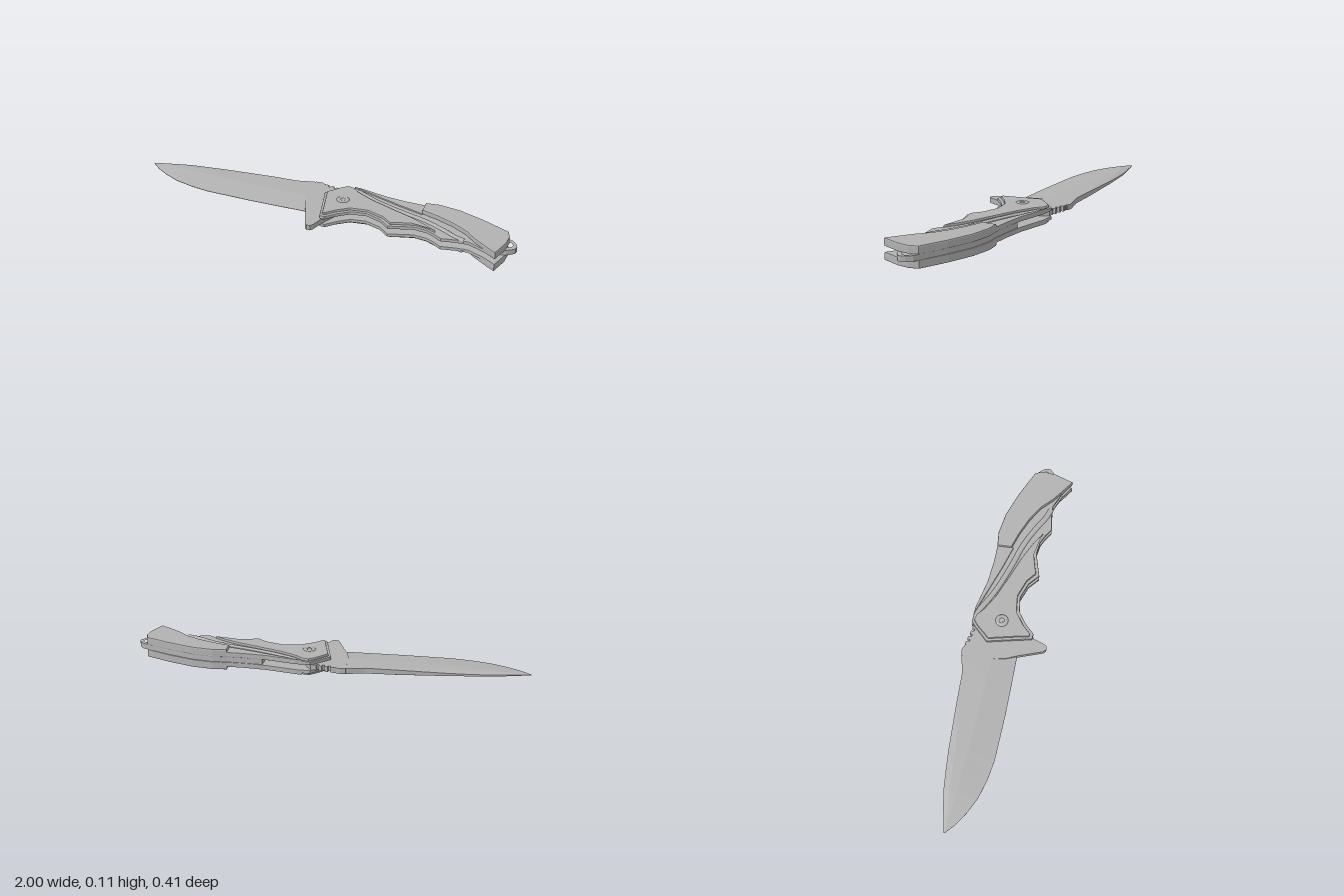
import * as THREE from 'three';

const C = 0.054; // mid height of the knife lying on its side
const steel = new THREE.MeshStandardMaterial({ color: 0xb2b2b2 });
steel.name = 'grey steel';

// Flat plate from [x, z] points, between two offsets from the mid plane, on one side (+1 top, -1 bottom)
function plate(name, pts, from, to, bevel, side = 1, hole = null) {
  const v = ([x, z]) => new THREE.Vector2(x, -side * z);
  const shape = new THREE.Shape(pts.map(v));
  if (hole) shape.holes.push(new THREE.Path(hole.map(v)));
  const geo = new THREE.ExtrudeGeometry(shape, {
    depth: to - from - 2 * bevel, bevelEnabled: bevel > 0, bevelThickness: bevel,
    bevelSize: bevel, bevelOffset: -bevel, bevelSegments: 2,
  });
  geo.translate(0, 0, from + bevel).rotateX(-side * Math.PI / 2).translate(0, C, 0);
  const mesh = new THREE.Mesh(geo, steel);
  mesh.name = name;
  return mesh;
}

// Blade lofted through sections: x, spine z, swedge z, ridge z, edge z, half thickness, spine half thickness
function blade() {
  const rows = [
    [-1, -0.067, -0.066, -0.065, -0.063, 0.001, 0.001],
    [-0.95, -0.081, -0.07, -0.062, -0.022, 0.005, 0.002],
    [-0.88, -0.1, -0.078, -0.058, 0.018, 0.009, 0.003],
    [-0.8, -0.119, -0.09, -0.055, 0.052, 0.0125, 0.004],
    [-0.7, -0.133, -0.1, -0.052, 0.075, 0.0135, 0.005],
    [-0.6, -0.145, -0.108, -0.05, 0.086, 0.0135, 0.007],
    [-0.36, -0.165, -0.162, -0.05, 0.083, 0.0135, 0.012],
    [-0.21, -0.175, -0.173, -0.05, 0.077, 0.0135, 0.0135],
    [-0.13, -0.198, -0.195, -0.05, 0.073, 0.0135, 0.0135],
    [-0.06, -0.198, -0.195, -0.05, 0.07, 0.0135, 0.0135],
  ];
  const pos = [], idx = [], n = 8;
  for (const [x, sp, sw, ri, ed, h, hs] of rows) {
    const top = [[ed, 0.001], [ri, h], [sw, h], [sp, hs]];
    const ring = [...top, ...top.map(([z, y]) => [z, -y]).reverse()];
    for (const [z, y] of ring) pos.push(x, C + y, z);
  }
  for (let i = 0; i < rows.length - 1; i++) {
    for (let j = 0; j < n; j++) {
      const a = i * n + j, b = i * n + (j + 1) % n;
      idx.push(a, a + n, b + n, a, b + n, b);
    }
  }
  let geo = new THREE.BufferGeometry();
  geo.setAttribute('position', new THREE.Float32BufferAttribute(pos, 3));
  geo.setIndex(idx);
  geo = geo.toNonIndexed();
  geo.computeVertexNormals();
  const mesh = new THREE.Mesh(geo, steel);
  mesh.name = 'blade';
  return mesh;
}

// Blade root with thumb notches and the flipper guard
function bladeRoot() {
  const pts = [[-0.06, 0.07], [-0.085, 0.02], [-0.1, -0.03], [-0.12, -0.202], [-0.09, -0.207]];
  for (let i = 0; i < 4; i++) {
    const x = -0.073 + i * 0.03, z = -0.202 + i * 0.005;
    pts.push([x, z], [x + 0.002, z + 0.016], [x + 0.012, z + 0.018], [x + 0.015, z + 0.004]);
  }
  pts.push([0.06, -0.18], [0.1, -0.12], [0.1, 0], [0.05, 0.12], [0.033, 0.185], [0.022, 0.202],
    [0.006, 0.204], [-0.008, 0.192]);
  return plate('bladeRoot', pts, -0.0137, 0.0137, 0, 1);
}

const outline = [
  [-0.025, -0.095], [0.035, -0.165], [0.06, -0.192], [0.135, -0.192], [0.285, -0.166], [0.4, -0.16],
  [0.49, -0.163], [0.56, -0.174], [0.67, -0.162], [0.8, -0.122], [0.94, -0.066], [0.957, -0.02],
  [0.955, 0.04], [0.93, 0.135], [0.865, 0.097], [0.78, 0.065], [0.72, 0.072], [0.65, 0.088], [0.605, 0.062],
  [0.565, 0.046], [0.5, 0.041], [0.43, 0.065], [0.38, 0.083], [0.325, 0.04], [0.245, 0.015], [0.165, 0.03],
  [0.11, 0.075], [0.065, 0.125], [0.038, 0.122], [0.018, 0.05],
];
const gripPad = [
  [-0.01, -0.09], [0.045, -0.16], [0.07, -0.182], [0.1, -0.176], [0.14, -0.145], [0.22, -0.105], [0.35, -0.06],
  [0.47, -0.02], [0.55, 0.015], [0.61, 0.05], [0.565, 0.032], [0.5, 0.026], [0.43, 0.048], [0.385, 0.064],
  [0.335, 0.028], [0.245, 0.001], [0.158, 0.016], [0.1, 0.062], [0.058, 0.109], [0.046, 0.106], [0.03, 0.045],
];
const spinePanel = [
  [0.1, -0.192], [0.135, -0.192], [0.285, -0.166], [0.4, -0.16], [0.5, -0.163], [0.5, -0.08],
  [0.38, -0.11], [0.25, -0.148],
];
const rearBolster = [
  [0.49, -0.163], [0.56, -0.174], [0.67, -0.162], [0.8, -0.122], [0.94, -0.066], [0.957, -0.02], [0.955, 0.04],
  [0.93, 0.137], [0.87, 0.1], [0.81, 0.06], [0.75, 0.008], [0.67, -0.035], [0.58, -0.068], [0.497, -0.09],
];

// Flattened rib sweeping diagonally across the scale
function rib(side) {
  const path = [[0.13, -0.17], [0.25, -0.115], [0.4, -0.068], [0.53, -0.035], [0.63, 0.005], [0.71, 0.045], [0.76, 0.06]];
  const curve = new THREE.CatmullRomCurve3(path.map(([x, z]) => new THREE.Vector3(x, 0, z)));
  const geo = new THREE.TubeGeometry(curve, 40, 0.014, 10);
  geo.scale(1, 0.6, 1).translate(0, C + side * 0.029, 0);
  const mesh = new THREE.Mesh(geo, steel);
  mesh.name = 'sweepingRib';
  return mesh;
}

// Pivot screw: dished head with a hexagonal socket
function pivotScrew(side) {
  const screw = new THREE.Group();
  screw.name = 'pivotScrew';
  const profile = [[0.008, 0.041], [0.014, 0.041], [0.014, 0.046], [0.02, 0.047], [0.028, 0.046], [0.033, 0.043], [0.033, 0.03]];
  const head = new THREE.Mesh(
    new THREE.LatheGeometry(profile.map(([r, y]) => new THREE.Vector2(r, y)).reverse(), 28), steel);
  head.name = 'screwHead';
  const socket = new THREE.Mesh(new THREE.CylinderGeometry(0.009, 0.009, 0.012, 6), steel);
  socket.name = 'screwCentre';
  socket.position.y = 0.038;
  screw.add(head, socket);
  screw.position.set(0.095, C, -0.045);
  if (side < 0) screw.rotation.x = Math.PI;
  return screw;
}

export function createModel() {
  const model = new THREE.Group();
  model.name = 'foldingKnife';
  model.add(blade(), bladeRoot());

  // Matching handle halves, with an open slot between them
  for (const side of [1, -1]) {
    const half = new THREE.Group();
    half.name = side > 0 ? 'upperHandleHalf' : 'lowerHandleHalf';
    half.add(
      plate('handleScale', outline, 0.0137, 0.031, 0.003, side),
      plate('gripPad', gripPad, 0.025, 0.0435, 0.005, side),
      plate('spinePanel', spinePanel, 0.025, 0.0385, 0.003, side),
      plate('rearBolster', rearBolster, 0.02, 0.0535, 0.006, side),
      rib(side),
      pivotScrew(side),
    );
    model.add(half);
  }

  // Spacer along the spine, ending in the lanyard loop
  const top = [[0.31, -0.158], [0.49, -0.158], [0.56, -0.168], [0.67, -0.156], [0.8, -0.116], [0.93, -0.068]];
  const low = top.map(([x, z]) => [x, z + 0.05]).reverse();
  const loop = [[0.965, -0.055], [0.99, -0.03], [0.999, -0.01], [0.996, 0.008], [0.982, 0.022], [0.958, 0.04], [0.93, 0.045]];
  const hole = [[0.948, -0.03], [0.965, -0.034], [0.978, -0.018], [0.976, -0.002], [0.962, 0.01], [0.95, 0.008]];
  model.add(plate('spineSpacer', [...top, ...loop, ...low], -0.0137, 0.0137, 0, 1, hole));
  return model;
}
